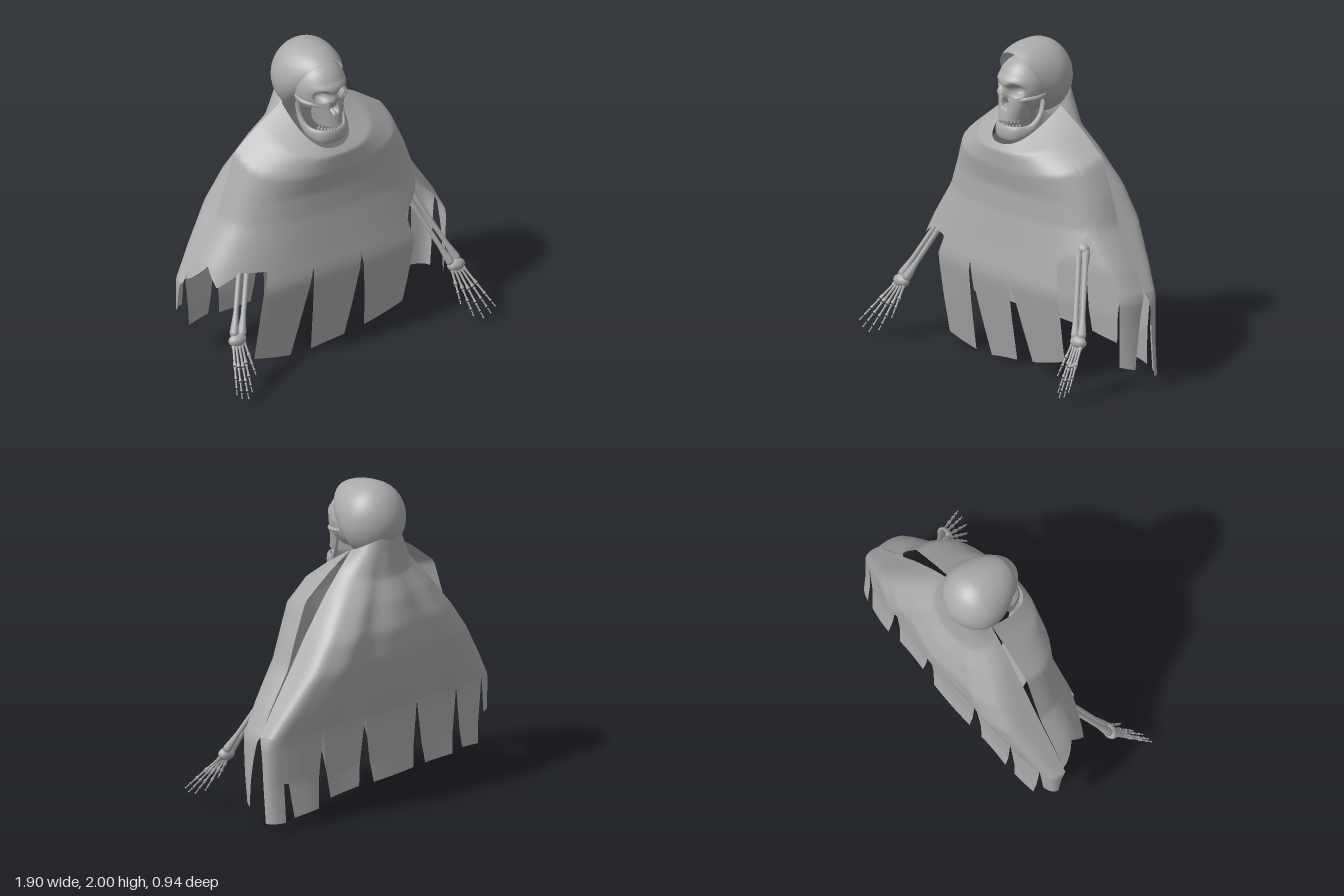
import * as THREE from 'three';
import { mergeVertices } from 'three/addons/utils/BufferGeometryUtils.js';

const V = (x, y, z) => new THREE.Vector3(x, y, z);
const lerp = THREE.MathUtils.lerp;
const CX = -0.02; // the head sits slightly off centre

// Cloak rings, top to bottom: front half width, cape half width, front z, back z, cape squareness,
// then y at front, side and back
const RINGS = [
  [0.18, 0.17, 0.155, -0.35, 0.8, 1.40, 1.61, 1.70],
  [0.35, 0.26, 0.185, -0.365, 0.7, 1.36, 1.51, 1.45],
  [0.54, 0.38, 0.180, -0.42, 0.55, 1.25, 1.37, 1.32],
  [0.62, 0.54, 0.155, -0.465, 0.4, 1.12, 1.15, 1.15],
  [0.68, 0.66, 0.160, -0.460, 0.3, 0.97, 0.97, 0.97],
  [0.83, 0.82, 0.190, -0.40, 0.35, 0.74, 0.74, 0.74],
  [0.92, 0.93, 0.215, -0.345, 0.4, 0.57, 0.57, 0.57],
  [0.93, 0.93, 0.160, -0.34, 0.4, 0.30, 0.30, 0.30],
  [0.93, 0.93, 0.090, -0.37, 0.4, 0.00, 0.00, 0.00],
];
// Lower edge of the body: angle (0 = left side, 90 = front), height
const HEM = [[-180, 0.58], [0, 0.6], [18, 0.62], [20, 0.72], [29, 0.94], [59, 0.76], [62, 0.66],
  [120, 0.64], [124, 0.69], [140, 0.7], [154, 0.61], [168, 0.72], [180, 0.6]];
// Hanging strips: angles at top, angles at bottom, heights of the bottom corners
const STRIPS = [
  [59, 85.6, 63, 81, 0.12, 0.05], [85.6, 100.6, 87.8, 96.9, 0.03, 0], [100.6, 123, 105, 123, 0, 0.05],
  [0, 18, 9, 24, 0.13, 0.15], [-30, 0, -30, -4, 0.06, 0.06], [-60, -30, -56, -38, 0.1, 0.08],
  [-82, -60, -79, -64, 0.16, 0.14], [-101, -82, -99, -85, 0.17, 0.16], [-124, -101, -121, -105, 0.17, 0.17],
  [-150, -124, -144, -128, 0.17, 0.19], [-180, -150, -176, -154, 0.36, 0.35],
];

function hemY(deg) {
  let i = 0;
  while (i < HEM.length - 2 && deg > HEM[i + 1][0]) i++;
  const [a, b] = [HEM[i], HEM[i + 1]];
  return lerp(a[1], b[1], (deg - a[0]) / (b[0] - a[0]));
}

function ringAtY(y) {
  let i = 4;
  while (i < 7 && y < RINGS[i + 1][5]) i++;
  return i + (RINGS[i][5] - y) / (RINGS[i][5] - RINGS[i + 1][5]);
}

// Point on the front panel or the back cape; both meet near z = -0.18
function cloakPoint(back, deg, t) {
  const i = Math.min(7, Math.floor(t));
  const [wf, wb, zf, zb, q, yf, ys, yb] = RINGS[i].map((v, k) => lerp(v, RINGS[i + 1][k], t - i));
  const a = THREE.MathUtils.degToRad(deg), c = Math.cos(a), s = Math.abs(Math.sin(a));
  const fold = back ? 1 + 0.05 * s * s * Math.cos(9 * (a + Math.PI / 2)) * Math.min(1, t / 2) : 1;
  const zc = -0.18;
  const x = (back ? wb : wf) * Math.sign(c) * Math.pow(Math.abs(c), 0.8) - 0.025 * Math.max(0, 1 - t / 3);
  const z = zc + ((back ? zb : zf) - zc) * Math.pow(s, back ? q : 0.7) * fold;
  return V(x, ys + ((back ? yb : yf) - ys) * Math.pow(s, back ? 1 : 0.7), z);
}

// Smooth grid surface from a function of u and v
function patch(fn, nu, nv) {
  const pos = [], idx = [];
  for (let j = 0; j <= nv; j++) for (let i = 0; i <= nu; i++) pos.push(...fn(i / nu, j / nv).toArray());
  for (let j = 0; j < nv; j++) for (let i = 0; i < nu; i++) {
    const p = j * (nu + 1) + i, q = p + nu + 1;
    idx.push(p, p + 1, q, p + 1, q + 1, q);
  }
  let g = new THREE.BufferGeometry();
  g.setAttribute('position', new THREE.Float32BufferAttribute(pos, 3));
  g.setIndex(idx);
  g = mergeVertices(g, 1e-5);
  g.computeVertexNormals();
  return g;
}

export function createModel() {
  const root = new THREE.Group();
  root.name = 'cloakedSkeleton';
  const grey = new THREE.MeshStandardMaterial({ color: 0xaaaaaa, side: THREE.DoubleSide });
  grey.name = 'grey';

  const add = (parent, name, geo, p = [0, 0, 0], s = [1, 1, 1]) => {
    const m = new THREE.Mesh(geo, grey);
    m.name = name;
    m.position.set(...p);
    m.scale.set(...s);
    parent.add(m);
    return m;
  };
  const group = (name) => {
    const g = new THREE.Group();
    g.name = name;
    root.add(g);
    return g;
  };

  // Cloak: front panel, back cape and torn strips
  const cloak = group('cloak');
  for (const back of [false, true]) {
    add(cloak, back ? 'backCape' : 'frontPanel', patch((u, v) => {
      const deg = 180 * (back ? u - 1 : u);
      return cloakPoint(back, deg, v * ringAtY(hemY(deg)));
    }, 120, 36));
  }
  for (const [t0, t1, b0, b1, y0, y1] of STRIPS) {
    add(cloak, 'cloakStrip', patch((u, v) => {
      const top = lerp(t0, t1, u);
      return cloakPoint(t0 < 0, lerp(top, lerp(b0, b1, u), v), ringAtY(lerp(hemY(top), lerp(y0, y1, u), v)));
    }, 16, 12));
  }

  // Hood: an open shell from its back pole to the tilted rim
  add(root, 'hood', patch((u, v) => {
    const f = u * Math.PI * 2, s = v * 2.26;
    const dx = Math.sin(s) * Math.cos(f), dy = Math.sin(s) * Math.sin(f), dz = -Math.cos(s);
    const pull = dz > 0 ? 1.12 + 0.85 * dy : 1;
    return V(-0.035 + 0.215 * dx, 1.77 + 0.23 * dy, -0.17 + 0.2 * dz * pull);
  }, 40, 20));

  // Skull: an ellipsoid with eye hollows pressed in
  const skull = group('skull');
  skull.position.x = CX;
  const head = new THREE.SphereGeometry(1, 80, 60);
  const hp = head.attributes.position;
  const dent = (x, y, ex, ey, rx, ry) => Math.exp(-Math.pow(((x - ex) / rx) ** 2 + ((y - ey) / ry) ** 2, 2));
  for (let i = 0; i < hp.count; i++) {
    let x = hp.getX(i) * 0.162, y = 1.745 + hp.getY(i) * 0.178, z = -0.045 + hp.getZ(i) * 0.17;
    if (hp.getZ(i) > 0) {
      z += 0.012 * dent(x, y, 0, 1.785, 0.12, 0.03);
      z -= 0.06 * (dent(x, y, 0.07, 1.735, 0.04, 0.036) + dent(x, y, -0.07, 1.735, 0.04, 0.036));
      z += 0.012 * dent(x, y, 0, 1.71, 0.018, 0.04);
    }
    hp.setXYZ(i, x, y, z);
  }
  head.computeVertexNormals();
  add(skull, 'cranium', head);

  // Upper jaw with two nose openings
  add(skull, 'upperJaw', patch((u, v) => {
    const a = u * Math.PI * 2, r = lerp(0.12, 0.085, v);
    const x = r * Math.cos(a), y = lerp(1.69, 1.545, v);
    let z = 0.04 + lerp(0.075, 0.105, v) * Math.sin(a);
    if (Math.sin(a) > 0) z -= 0.05 * (dent(x, y, 0.014, 1.645, 0.012, 0.026) + dent(x, y, -0.014, 1.645, 0.012, 0.026));
    return V(x, y, z);
  }, 120, 24));
  add(skull, 'palate', new THREE.CylinderGeometry(0.085, 0.08, 0.02, 32), [0, 1.545, 0.04], [1, 1, 1.22]);

  // Lower jaw: a U-shaped band, tall at the chin, rising at the rear
  const jawCurve = new THREE.CatmullRomCurve3([
    V(-0.155, 1.65, -0.05), V(-0.15, 1.56, -0.025), V(-0.125, 1.485, 0.03), V(-0.08, 1.465, 0.1), V(0, 1.462, 0.122),
    V(0.08, 1.465, 0.1), V(0.125, 1.485, 0.03), V(0.15, 1.56, -0.025), V(0.155, 1.65, -0.05)]);
  add(skull, 'lowerJaw', patch((u, v) => {
    const p = jawCurve.getPoint(u), a = -v * Math.PI * 2, out = V(p.x, 0, p.z + 0.02).normalize();
    const tall = 0.025 + 0.022 * Math.sin(u * Math.PI) ** 2;
    return p.addScaledVector(out, 0.016 * Math.cos(a)).add(V(0, tall * Math.sin(a), 0));
  }, 60, 16));

  // Cheekbones and teeth
  for (const s of [-1, 1]) {
    const cheek = new THREE.CatmullRomCurve3([
      V(s * 0.075, 1.67, 0.085), V(s * 0.125, 1.685, 0.05), V(s * 0.152, 1.69, 0.0), V(s * 0.152, 1.7, -0.07)]);
    add(skull, 'cheekbone', new THREE.TubeGeometry(cheek, 20, 0.014, 8));
  }
  const tooth = new THREE.CapsuleGeometry(0.008, 0.012, 3, 8);
  for (let i = -5; i <= 5; i++) {
    const a = i * 0.24;
    add(skull, 'upperTooth', tooth, [0.08 * Math.sin(a), 1.538, 0.04 + 0.098 * Math.cos(a)]);
    add(skull, 'lowerTooth', tooth, [0.08 * Math.sin(a), 1.503, 0.03 + 0.09 * Math.cos(a)]);
  }

  // Bones with flared ends
  const bone = (parent, name, a, b, r) => {
    const profile = [[0, 0], [1.1, 0.01], [1.3, 0.05], [0.8, 0.2], [0.75, 0.75], [1.3, 0.95], [1.1, 0.99], [0, 1]];
    const len = a.distanceTo(b);
    const m = add(parent, name,
      new THREE.LatheGeometry(profile.map(([x, y]) => new THREE.Vector2(x * r, y * len)), 10), a.toArray());
    m.quaternion.setFromUnitVectors(V(0, 1, 0), b.clone().sub(a).normalize());
  };

  // Arms and hands, mirrored about the head's axis
  const TIPS = [[0.735, 0.15, 0.37], [0.795, 0.07, 0.42], [0.845, 0.055, 0.455], [0.895, 0.075, 0.46], [0.93, 0.11, 0.455]];
  for (const s of [1, -1]) {
    const arm = group(s > 0 ? 'leftArm' : 'rightArm');
    const P = (x, y, z) => V(s > 0 ? x : -x - 0.03, y, z);
    const wrist = P(0.785, 0.35, 0.245);
    add(arm, 'elbow', new THREE.SphereGeometry(0.036, 16, 12), P(0.57, 0.84, 0.015).toArray(), [1.3, 1, 1]);
    bone(arm, 'forearmBone', P(0.55, 0.84, 0.025), P(0.755, 0.36, 0.245), 0.021);
    bone(arm, 'forearmBone', P(0.595, 0.84, 0.01), P(0.805, 0.37, 0.235), 0.021);
    add(arm, 'wrist', new THREE.SphereGeometry(1, 18, 12), wrist.toArray(), [0.06, 0.04, 0.04]);
    TIPS.forEach((t, k) => {
      const tip = P(...t);
      const base = wrist.clone().add(V(s * (k - 2) * 0.02, -0.02, 0.015));
      const at = (f) => base.clone().lerp(tip, f);
      [[0, 0.42], [0.43, 0.68], [0.7, 0.86], [0.89, 1]].forEach(([f0, f1], n) =>
        bone(arm, 'fingerBone', at(f0), at(f1), 0.0095 - n * 0.0017));
    });
  }
  return root;
}
